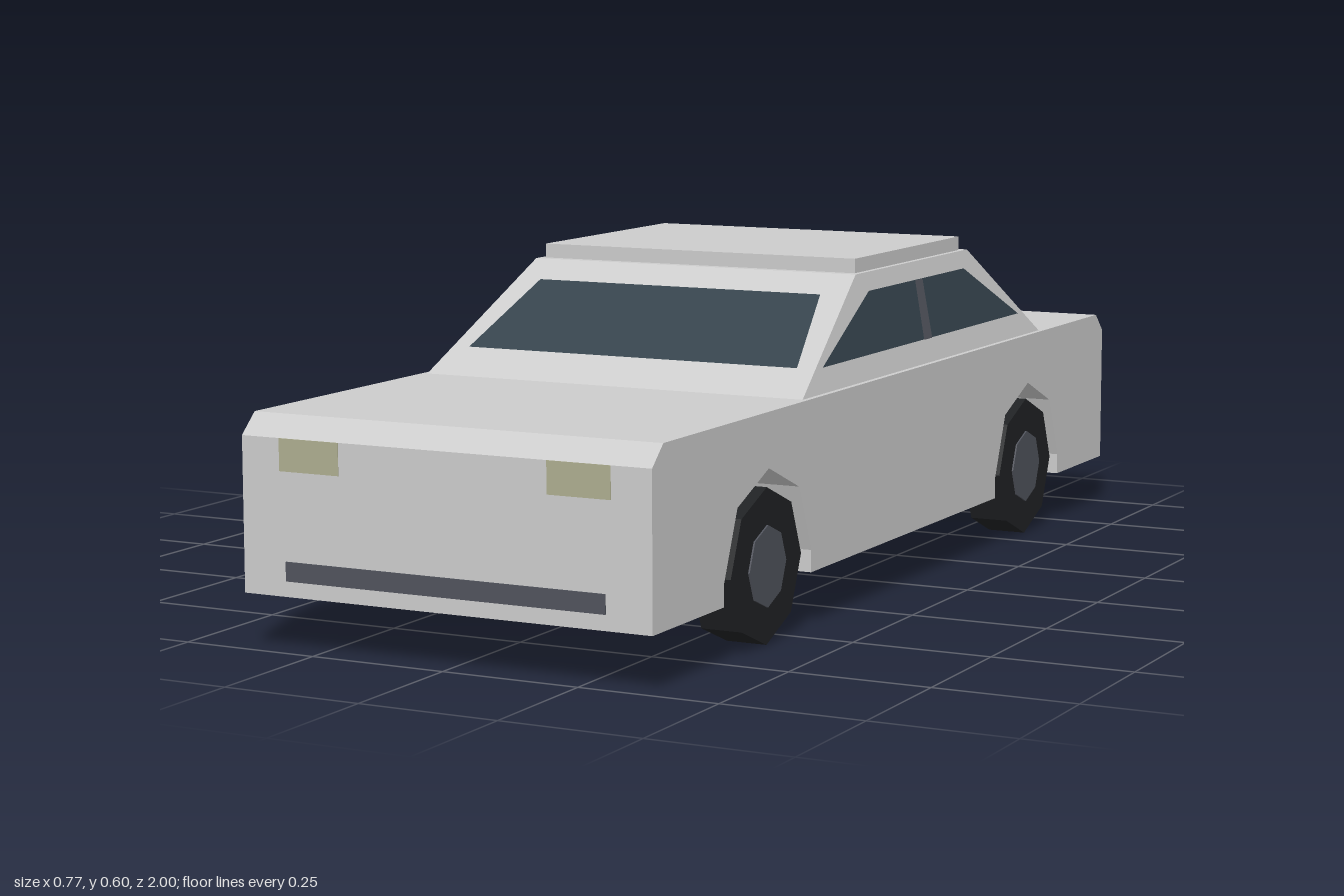
import * as THREE from 'three';

const mat = (color) => new THREE.MeshStandardMaterial({ color, flatShading: true, side: THREE.DoubleSide });

export function createModel() {
  const car = new THREE.Group();
  car.name = 'car';
  const paint = mat(0xcccccc), glass = mat(0x35434c), trim = mat(0x50535c);
  const rubber = mat(0x202224), headlight = mat(0xadad8f), tailLight = mat(0x662a2e);

  const add = (name, geometry, material, parent = car) => {
    const mesh = new THREE.Mesh(geometry, material);
    mesh.name = name;
    parent.add(mesh);
    return mesh;
  };
  const box = (name, w, h, d, x, y, z, material) =>
    add(name, new THREE.BoxGeometry(w, h, d), material).position.set(x, y, z);
  // Flat four-cornered panel, corners anticlockwise from outside
  const panel = (name, corners, material) => {
    const g = new THREE.BufferGeometry();
    g.setAttribute('position', new THREE.Float32BufferAttribute(corners.flat(), 3));
    g.setIndex([0, 1, 2, 0, 2, 3]);
    g.computeVertexNormals();
    return add(name, g, material);
  };

  // Lower body: side profile with octagonal wheel arches, extruded across the width
  const bottom = 0.095, top = 0.395, end = 0.998, axleZ = 0.583, axleY = 0.134, archR = 0.166;
  const profile = [[-end, bottom], [-end, 0.36], [-0.96, top], [0.96, top], [end, 0.36], [end, bottom]];
  for (const z of [axleZ, -axleZ]) {
    profile.push([z + archR, bottom]);
    for (let i = 0; i <= 4; i++) {
      const a = (i * Math.PI) / 4;
      profile.push([z + archR * Math.cos(a), axleY + archR * Math.sin(a)]);
    }
    profile.push([z - archR, bottom]);
  }
  const shape = new THREE.Shape(profile.map(([z, y]) => new THREE.Vector2(z, y)));
  const body = new THREE.ExtrudeGeometry(shape, { depth: 0.766, bevelEnabled: false });
  body.translate(0, 0, -0.383).rotateY(-Math.PI / 2);
  add('body', body, paint);

  // Cabin: a box whose corners taper towards the roof
  const roofY = 0.577;
  const mix = THREE.MathUtils.lerp;
  const height = (y) => (y - top) / (roofY - top);
  const sideX = (y) => mix(0.373, 0.327, height(y));
  const frontZ = (y) => mix(0.432, 0.116, height(y));
  const rearZ = (y) => mix(-0.662, -0.398, height(y));
  const cabin = new THREE.BoxGeometry(1, 1, 1);
  const p = cabin.attributes.position;
  for (let i = 0; i < p.count; i++) {
    const y = p.getY(i) > 0 ? roofY : top;
    p.setXYZ(i, Math.sign(p.getX(i)) * sideX(y), y, p.getZ(i) > 0 ? frontZ(y) : rearZ(y));
  }
  cabin.computeVertexNormals();
  add('cabin', cabin, paint);
  box('roof', 0.634, 0.028, 0.477, 0, 0.589, -0.141, paint);

  // Windscreen and rear window
  const y0 = 0.438, y1 = 0.545, gap = 0.003;
  const f0 = frontZ(y0) + gap, f1 = frontZ(y1) + gap, r0 = rearZ(y0) - gap, r1 = rearZ(y1) - gap;
  panel('windscreen', [[-0.328, y0, f0], [0.328, y0, f0], [0.285, y1, f1], [-0.285, y1, f1]], glass);
  panel('rearWindow', [[0.328, y0, r0], [-0.328, y0, r0], [-0.285, y1, r1], [0.285, y1, r1]], glass);

  for (const s of [1, -1]) {
    const side = s > 0 ? 'left' : 'right';
    // Side window with its slanted door pillar
    const sidePanel = (name, zs, out, material) => {
      const c = [y0, y0, y1, y1].map((y, i) => [s * (sideX(y) + out), y, zs[i]]);
      panel(name, s > 0 ? c : c.reverse(), material);
    };
    sidePanel(side + 'Window', [0.335, -0.57, -0.356, 0.083], gap, glass);
    sidePanel(side + 'Pillar', [-0.1, -0.137, -0.152, -0.118], gap * 2, trim);

    // Lamps
    box(side + 'Headlight', 0.115, 0.055, 0.004, s * 0.2525, 0.3325, end - 0.001, headlight);
    box(side + 'TailLight', 0.115, 0.055, 0.004, s * 0.2525, 0.3325, 0.001 - end, tailLight);

    // Eight-sided wheels with hubs
    for (const e of [1, -1]) {
      const wheel = new THREE.Group();
      wheel.name = side + (e > 0 ? 'Front' : 'Rear') + 'Wheel';
      wheel.position.set(s * 0.342, axleY, e * axleZ);
      add('tyre', new THREE.CylinderGeometry(0.134, 0.134, 0.074, 8).rotateZ(Math.PI / 2), rubber, wheel);
      add('hub', new THREE.CylinderGeometry(0.07, 0.07, 0.08, 8).rotateZ(Math.PI / 2), trim, wheel);
      car.add(wheel);
    }
  }

  // Bumper strips at both ends
  box('frontBumper', 0.6, 0.033, 0.006, 0, 0.138, 0.997, trim);
  box('rearBumper', 0.6, 0.033, 0.006, 0, 0.138, -0.997, trim);

  return car;
}
